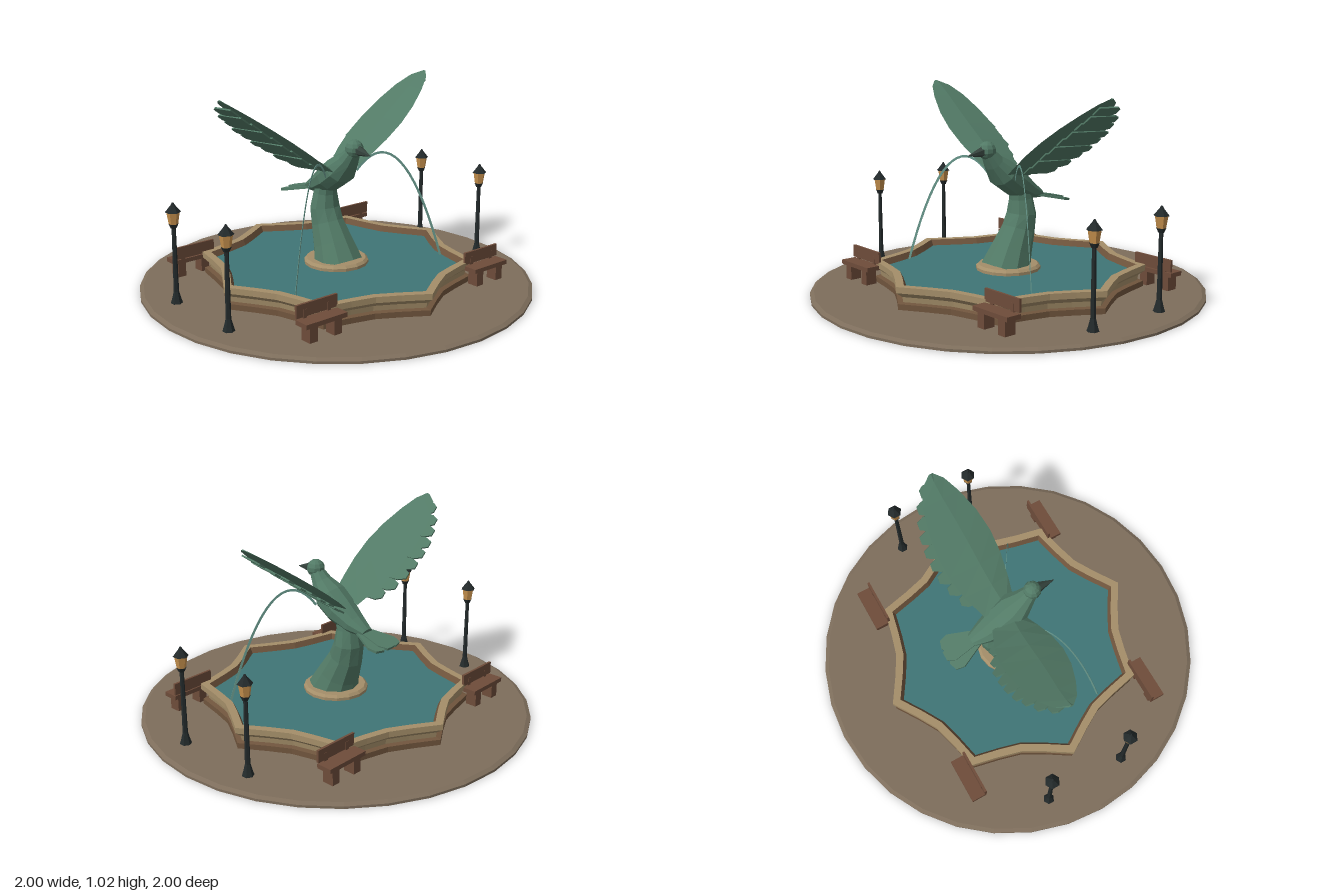
import * as THREE from 'three';

const mat = (name, color, side = THREE.FrontSide) =>
  Object.assign(new THREE.MeshStandardMaterial({ color, flatShading: true, side }), { name });

const M = {
  paving: mat('paving', 0x7d6d5b),
  limestone: mat('limestone', 0xa48e69),
  brownStone: mat('brownStone', 0x70553d),
  water: mat('water', 0x3f7576),
  bronze: mat('patinaBronze', 0x527a66, THREE.DoubleSide),
  beak: mat('darkBronze', 0x35433d),
  jet: mat('jetWater', 0x6a9a8e, THREE.DoubleSide),
  wood: mat('wood', 0x6e4c3a),
  iron: mat('iron', 0x232a2b),
  glow: mat('lampGlass', 0xc8924e),
};

function add(parent, name, geometry, material, x = 0, y = 0, z = 0) {
  const mesh = new THREE.Mesh(geometry, material);
  mesh.name = name;
  mesh.position.set(x, y, z);
  parent.add(mesh);
  return mesh;
}

function group(parent, name, x = 0, y = 0, z = 0) {
  const g = new THREE.Group();
  g.name = name;
  g.position.set(x, y, z);
  parent.add(g);
  return g;
}

// Closed skin over a row of rings with equal point counts, capped at both ends
function skin(rings) {
  const n = rings[0].length, pos = rings.flat(2), idx = [];
  for (let i = 0; i < rings.length - 1; i++)
    for (let j = 0; j < n; j++) {
      const a = i * n + j, b = i * n + (j + 1) % n;
      idx.push(a, a + n, b, b, a + n, b + n);
    }
  const last = (rings.length - 1) * n;
  for (let j = 1; j < n - 1; j++) {
    idx.push(0, j, j + 1);
    idx.push(last, last + j + 1, last + j);
  }
  const g = new THREE.BufferGeometry();
  g.setAttribute('position', new THREE.Float32BufferAttribute(pos, 3));
  g.setIndex(idx);
  g.computeVertexNormals();
  return g;
}

// Elliptic loft along a path in the yz plane; sections are [y, z, halfWidth, halfDepth]
function loft(sections, sides) {
  return skin(sections.map(([y, z, rx, r], i) => {
    const p = sections[Math.max(i - 1, 0)], q = sections[Math.min(i + 1, sections.length - 1)];
    const len = Math.hypot(q[0] - p[0], q[1] - p[1]);
    const vy = -(q[1] - p[1]) / len, vz = (q[0] - p[0]) / len;
    return Array.from({ length: sides }, (_, j) => {
      const a = (j + 0.5) / sides * Math.PI * 2, s = Math.sin(a) * r;
      return [Math.cos(a) * rx, y + vy * s, z + vz * s];
    });
  }));
}

// Lathe whose radius follows an eight-pointed scalloped outline
function scalloped(points) {
  const g = new THREE.LatheGeometry(points.map(p => new THREE.Vector2(...p)), 32);
  const p = g.attributes.position;
  for (let i = 0; i < p.count; i++) {
    const k = 1 - 0.135 * Math.abs(Math.sin(4 * Math.atan2(p.getZ(i), p.getX(i))));
    p.setXYZ(i, p.getX(i) * k, p.getY(i), p.getZ(i) * k);
  }
  g.computeVertexNormals();
  return g;
}

// Flat feather lying in xz, root at the origin, blunt tip towards -z
function feather(rootHalf, tipHalf, length, thick) {
  const s = new THREE.Shape([
    [-rootHalf, 0], [-tipHalf, -length * 0.82], [-tipHalf * 0.5, -length],
    [tipHalf * 0.5, -length], [tipHalf, -length * 0.82], [rootHalf, 0],
  ].map(p => new THREE.Vector2(...p)));
  return new THREE.ExtrudeGeometry(s, { depth: thick, bevelEnabled: false }).rotateX(Math.PI / 2);
}

function buildWing(parent, side) {
  const holder = group(parent, side > 0 ? 'leftWing' : 'rightWing');
  holder.scale.x = side;
  const wing = group(holder, 'wingPlane', 0.05, 0.585, 0);
  wing.rotation.z = Math.atan(0.71);
  const K = 1.227; // span stretch caused by the raised wing
  // x, leading z, trailing z
  const outline = [[0.04, 0.06, -0.11], [0.15, 0.085, -0.16], [0.25, 0.1, -0.185], [0.35, 0.1, -0.19],
    [0.45, 0.08, -0.18], [0.55, 0.04, -0.155], [0.62, 0, -0.115], [0.655, -0.04, -0.06]];
  add(wing, 'wingPanel', skin(outline.map(([x, lead, trail], i) => {
    const s = (x - 0.05) * K, mid = lead * 0.5 + trail * 0.5 + 0.03 * (1 - i / 7), h = 0.022 * (1 - i / 9);
    return [[s, 0, lead], [s, h, mid], [s, 0, trail], [s, -h * 0.6, mid]];
  })), M.bronze);
  // Flight feathers below the panel
  const tips = [0.185, 0.215, 0.235, 0.24, 0.24, 0.23, 0.21, 0.18, 0.135];
  tips.forEach((tip, i) => {
    const f = add(wing, 'flightFeather', feather(0.032, 0.037, tip - 0.01, 0.008), M.bronze,
      (0.07 + i * 0.0585) * K, -0.01 - 0.004 * (i % 2), -0.01);
    f.rotation.set(-0.12, -0.1, 0);
  });
}

function buildBird(parent) {
  const bird = group(parent, 'birdStatue');
  add(bird, 'body', loft([[0.715, 0.135, 0.036, 0.034], [0.66, 0.095, 0.056, 0.05], [0.6, 0.035, 0.09, 0.076],
    [0.545, -0.04, 0.088, 0.072], [0.495, -0.13, 0.066, 0.05], [0.468, -0.21, 0.036, 0.022]], 10), M.bronze);
  add(bird, 'head', new THREE.SphereGeometry(0.046, 10, 7), M.bronze, 0, 0.724, 0.137);
  const beak = add(bird, 'beak', new THREE.ConeGeometry(0.029, 0.1, 6), M.beak, 0, 0.714, 0.213);
  beak.rotation.x = Math.PI / 2 + 0.13;
  // Fanned tail
  const tail = group(bird, 'tail', 0, 0.485, -0.15);
  tail.rotation.x = -0.22;
  [-1, 0, 1].forEach(k => {
    const f = add(tail, 'tailFeather', feather(0.026, 0.046, 0.22, 0.012), M.bronze, 0, -0.005 * Math.abs(k), 0);
    f.rotation.y = k * 0.3;
  });
  buildWing(bird, 1);
  buildWing(bird, -1);
}

// Arched water ribbon standing in a vertical plane
function buildJet(parent, side) {
  const arc = o => Array.from({ length: 19 }, (_, i) => {
    const d = i / 18 * 0.45, slope = -11.1 * (d - 0.127), l = Math.hypot(1, slope);
    return new THREE.Vector2(d - o * slope / l, 0.668 - 5.55 * (d - 0.127) ** 2 + o / l);
  });
  const shape = new THREE.Shape([...arc(-0.006), ...arc(0.006).reverse()]);
  const g = new THREE.ExtrudeGeometry(shape, { depth: 0.002, bevelEnabled: false });
  const jet = add(parent, 'waterJet', g, M.jet, side * 0.1, 0, 0.04);
  const a = Math.atan(0.617);
  jet.rotation.y = side > 0 ? -a : Math.PI + a;
}

function buildLamp(parent, x, z) {
  const lamp = group(parent, 'lampPost', x, 0, z);
  const part = (name, top, bottom, y0, y1, m) =>
    add(lamp, name, new THREE.CylinderGeometry(top, bottom, y1 - y0, 6), m, 0, (y0 + y1) / 2, 0);
  part('foot', 0.022, 0.03, 0.02, 0.045, M.iron);
  part('footTaper', 0.012, 0.022, 0.045, 0.085, M.iron);
  part('pole', 0.01, 0.013, 0.08, 0.41, M.iron);
  part('collar', 0.024, 0.014, 0.4, 0.422, M.iron);
  part('lantern', 0.032, 0.022, 0.42, 0.482, M.glow);
  part('lanternCap', 0.014, 0.038, 0.48, 0.51, M.iron);
  part('finial', 0.004, 0.014, 0.508, 0.526, M.iron);
}

function buildBench(parent, sx, sz) {
  const bench = group(parent, 'bench', sx * 0.537, 0, 0);
  const box = (name, w, h, d, x, y, z) => add(bench, name, new THREE.BoxGeometry(w, h, d), M.wood, x, y, sz * z);
  box('seat', 0.235, 0.022, 0.08, 0, 0.108, 0.537);
  box('backrest', 0.235, 0.062, 0.012, 0, 0.156, 0.5);
  for (const s of [-1, 1]) {
    box('benchLeg', 0.045, 0.08, 0.06, s * 0.07, 0.06, 0.538);
    box('backPost', 0.02, 0.06, 0.01, s * 0.07, 0.13, 0.502);
  }
}

export function createModel() {
  const model = new THREE.Group();
  model.name = 'birdFountain';

  // Round plaza
  add(model, 'plaza', new THREE.CylinderGeometry(1, 1, 0.012, 32), M.paving, 0, 0.006, 0);
  add(model, 'plazaBevel', new THREE.CylinderGeometry(0.98, 1, 0.01, 32), M.paving, 0, 0.017, 0);

  // Basin
  add(model, 'basinPlinth', scalloped([[0.685, 0.02], [0.685, 0.05], [0.64, 0.056]]), M.brownStone);
  add(model, 'basinRim', scalloped([[0.655, 0.05], [0.66, 0.08], [0.695, 0.105], [0.695, 0.135], [0.65, 0.135]]), M.limestone);
  add(model, 'basinInnerWall', scalloped([[0.65, 0.135], [0.63, 0.1]]), M.brownStone);
  add(model, 'poolWater', scalloped([[0.634, 0.105], [0, 0.105]]), M.water);

  // Pedestal
  const ring = [[0.165, 0.1], [0.165, 0.12], [0.152, 0.132], [0.1, 0.132]];
  add(model, 'pedestalRing', new THREE.LatheGeometry(ring.map(p => new THREE.Vector2(...p)), 16), M.limestone);
  add(model, 'pedestal', loft([[0.1, 0.015, 0.13, 0.13], [0.2, -0.025, 0.105, 0.105], [0.3, -0.07, 0.085, 0.085],
    [0.38, -0.09, 0.082, 0.072], [0.46, -0.085, 0.064, 0.058], [0.54, -0.07, 0.056, 0.05]], 10), M.bronze);

  buildBird(model);
  for (const sx of [-1, 1]) {
    buildJet(model, sx);
    for (const sz of [-1, 1]) {
      buildLamp(model, sx * 0.82, sz * 0.22);
      buildBench(model, sx, sz);
    }
  }
  return model;
}
